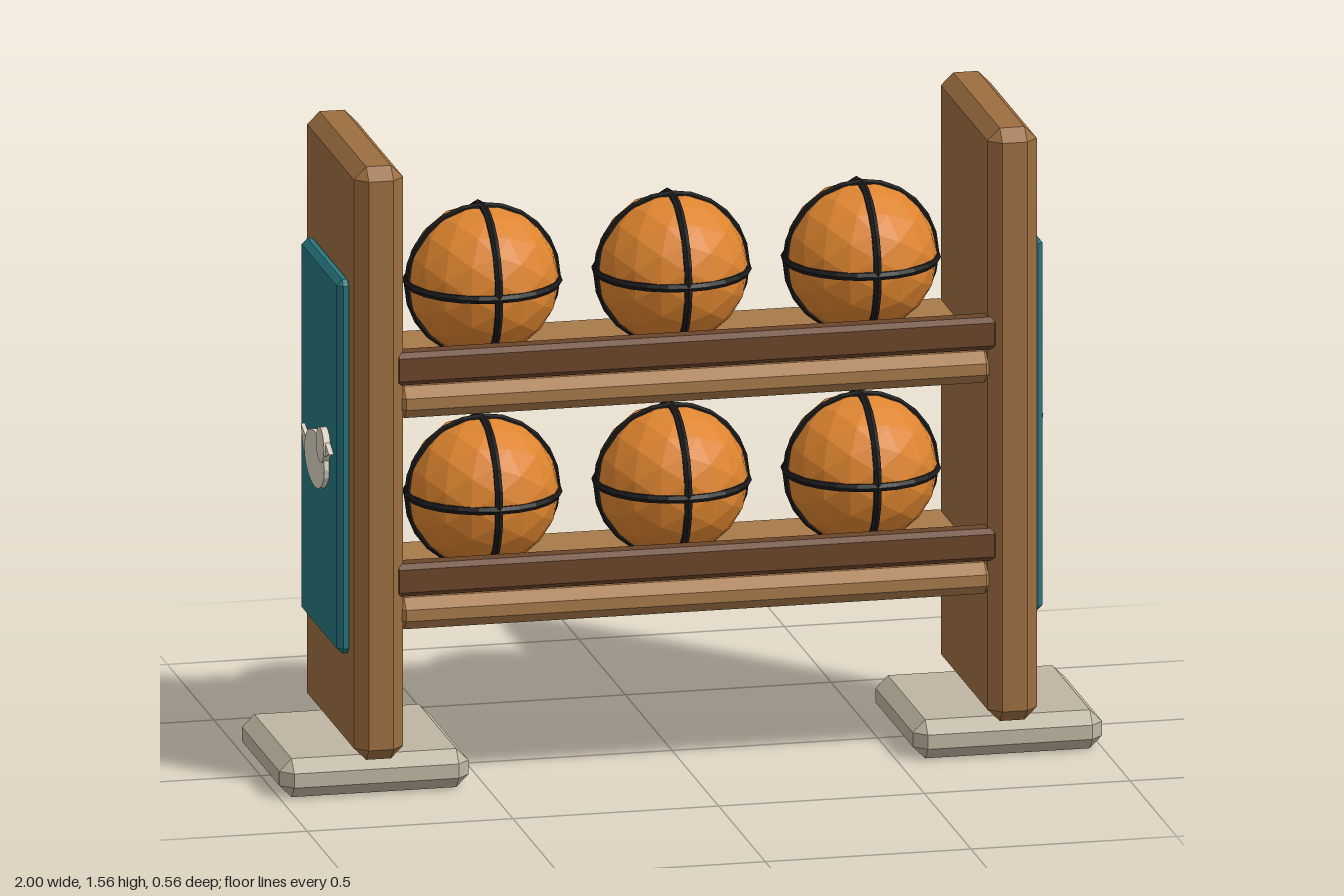
import * as THREE from 'three';
import { ConvexGeometry } from 'three/addons/geometries/ConvexGeometry.js';

const mat = (color, flatShading = false) => new THREE.MeshStandardMaterial({ color, flatShading });
const wood = mat(0x9c6e40), shelfWood = mat(0xa87a4a), darkWood = mat(0x6b442a);
const stone = mat(0xbfb5a2), teal = mat(0x26757c), cream = mat(0xd9d0c0);
const orange = mat(0xdd842f, true), black = mat(0x1a1a1a, true);

function add(parent, name, geometry, material, x = 0, y = 0, z = 0) {
  const mesh = new THREE.Mesh(geometry, material);
  mesh.name = name;
  mesh.position.set(x, y, z);
  parent.add(mesh);
  return mesh;
}

// Box with every edge cut by a flat chamfer c, given by its min and max corners
function chamferBox(parent, name, material, min, max, c) {
  const h = min.map((v, i) => (max[i] - v) / 2);
  const points = [];
  for (const sx of [-1, 1]) for (const sy of [-1, 1]) for (const sz of [-1, 1])
    for (let axis = 0; axis < 3; axis++) {
      const p = h.map((v, i) => (i === axis ? v : v - c));
      points.push(new THREE.Vector3(sx * p[0], sy * p[1], sz * p[2]));
    }
  return add(parent, name, new ConvexGeometry(points), material, ...min.map((v, i) => v + h[i]));
}

// Thin plate cut from an outline (u towards the beak, v up), facing +x
function plate(points, depth) {
  const shape = new THREE.Shape(points.map(([u, v]) => new THREE.Vector2(u, v)));
  return new THREE.ExtrudeGeometry(shape, { depth, bevelEnabled: false }).rotateY(Math.PI / 2);
}

function ellipse(cu, cv, ru, rv, n) {
  return Array.from({ length: n }, (_, i) => {
    const a = (i / n) * Math.PI * 2;
    return [cu + ru * Math.cos(a), cv + rv * Math.sin(a)];
  });
}

// End of the rack on the +x side: foot, upright, panel and bird ornament
function createEnd(name) {
  const end = new THREE.Group();
  end.name = name;
  chamferBox(end, 'foot', stone, [0.54, 0, -0.23], [1, 0.095, 0.23], 0.03);
  chamferBox(end, 'upright', wood, [0.71, 0.095, -0.28], [0.83, 1.555, 0.28], 0.03);
  chamferBox(end, 'panel', teal, [0.818, 0.342, -0.2], [0.858, 1.263, 0.2], 0.014);
  const bird = new THREE.Group();
  bird.name = 'birdOrnament';
  bird.position.x = 0.85;
  add(bird, 'body', plate(ellipse(0.002, 0.773, 0.108, 0.068, 20), 0.02), cream);
  add(bird, 'head', plate(ellipse(0.08, 0.829, 0.043, 0.043, 16), 0.024), cream);
  add(bird, 'beak', plate([[0.108, 0.805], [0.158, 0.825], [0.11, 0.848]], 0.02), cream);
  add(bird, 'tail', plate([[-0.07, 0.8], [-0.1, 0.8], [-0.152, 0.818], [-0.125, 0.76], [-0.07, 0.765]], 0.018), cream);
  end.add(bird);
  return end;
}

// Faceted ball with three crossing bands
function createBall(x, y) {
  const ball = new THREE.Group();
  ball.name = 'ball';
  ball.position.set(x, y, -0.005);
  add(ball, 'core', new THREE.IcosahedronGeometry(0.183, 2), orange);
  const band = new THREE.TorusGeometry(0.18, 0.0105, 6, 24);
  add(ball, 'bandFront', band, black);
  add(ball, 'bandSide', band, black).rotation.y = Math.PI / 2;
  add(ball, 'bandLevel', band, black).rotation.x = Math.PI / 2;
  return ball;
}

export function createModel() {
  const rack = new THREE.Group();
  rack.name = 'ballRack';

  const right = createEnd('rightEnd');
  right.rotation.y = Math.PI;
  rack.add(createEnd('leftEnd'), right);

  // Two shelves, each with a front rail and three balls
  [0.485, 1.005].forEach((top, i) => {
    const shelf = new THREE.Group();
    shelf.name = i ? 'upperShelf' : 'lowerShelf';
    chamferBox(shelf, 'board', shelfWood, [-0.73, top - 0.078, -0.262], [0.73, top, 0.262], 0.025);
    chamferBox(shelf, 'frontRail', darkWood, [-0.735, top + 0.008, 0.208], [0.735, top + 0.088, 0.268], 0.012);
    for (const x of [-0.46, 0, 0.46]) shelf.add(createBall(x, top + 0.182));
    rack.add(shelf);
  });
  return rack;
}
